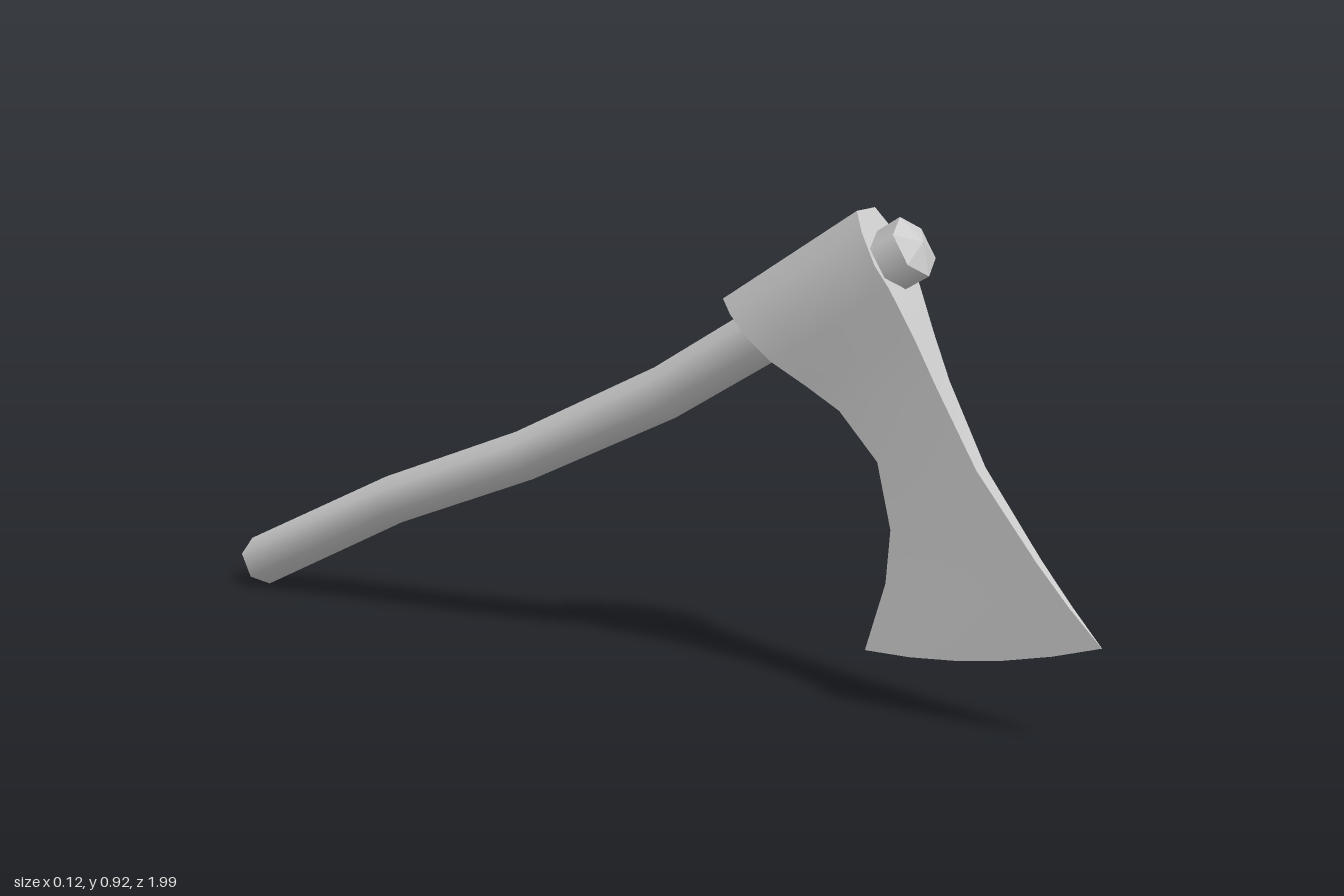
import * as THREE from 'three';
import { toCreasedNormals } from 'three/addons/utils/BufferGeometryUtils.js';

const steel = new THREE.MeshStandardMaterial({ color: 0xcccccc });
steel.name = 'lightGrey';

// Skins closed rings (counter-clockwise seen from the first ring); caps are strips across a mirrored ring.
function loft(rings, crease, capped) {
  const n = rings[0].length, idx = [];
  for (let i = 0; i < rings.length - 1; i++) {
    for (let j = 0; j < n; j++) {
      const a = i * n + j, b = i * n + (j + 1) % n;
      idx.push(a, a + n, b, b, a + n, b + n);
    }
  }
  if (capped) {
    for (let j = 0; j < n / 2 - 1; j++) {
      idx.push(j, j + 1, n - 1 - j, j + 1, n - 2 - j, n - 1 - j);
    }
  }
  const geo = new THREE.BufferGeometry().setFromPoints(rings.flat());
  geo.setIndex(idx);
  return toCreasedNormals(geo, crease);
}

function part(name, geo) {
  const mesh = new THREE.Mesh(geo, steel);
  mesh.name = name;
  return mesh;
}

// Six-sided curved haft with shallow pointed ends
function buildHandle() {
  const group = new THREE.Group();
  group.name = 'handle';
  // z, y, radius
  const path = [
    [0.616, 0.865, 0.0585], [0.297, 0.672, 0.053], [0.088, 0.544, 0.052],
    [-0.249, 0.378, 0.05], [-0.589, 0.241, 0.05], [-0.97, 0.051, 0.053],
  ];
  const centres = path.map(([z, y]) => new THREE.Vector3(0, y, z));
  const last = centres.length - 1;
  const tangent = (i) => centres[Math.min(i + 1, last)].clone().sub(centres[Math.max(i - 1, 0)]).normalize();
  const rings = centres.map((c, i) => {
    const t = tangent(i), r = path[i][2];
    return Array.from({ length: 6 }, (_, k) => {
      const a = Math.PI / 6 + k * Math.PI / 3, h = r * Math.sin(a);
      return new THREE.Vector3(r * Math.cos(a), c.y - t.z * h, c.z + t.y * h);
    });
  });
  group.add(part('shaft', loft(rings, 1.15, false)));

  for (const [i, sign, name] of [[0, -1, 'frontEnd'], [last, 1, 'buttEnd']]) {
    const cone = new THREE.ConeGeometry(path[i][2], 0.02, 6, 1, true).translate(0, 0.01, 0);
    const cap = part(name, toCreasedNormals(cone, 0.05));
    cap.position.copy(centres[i]);
    cap.quaternion.setFromUnitVectors(new THREE.Vector3(0, 1, 0), tangent(i).multiplyScalar(sign));
    group.add(cap);
  }
  return group;
}

// Bearded head: thick socket narrowing to a thin curved cutting edge
function buildHead() {
  // front z, front y, back z, back y, half thickness
  const rows = [
    [0.517, 0.924, 0.238, 0.742, 0.032],
    [0.539, 0.889, 0.266, 0.718, 0.051],
    [0.572, 0.835, 0.31, 0.68, 0.062],
    [0.597, 0.795, 0.356, 0.64, 0.053],
    [0.639, 0.71, 0.42, 0.6, 0.036],
    [0.678, 0.629, 0.485, 0.56, 0.026],
    [0.758, 0.485, 0.56, 0.474, 0.017],
    [0.876, 0.335, 0.586, 0.351, 0.01],
    [0.94, 0.262, 0.576, 0.249, 0.006],
    [1.0, 0.2, 0.533, 0.115, 0.0005],
  ];
  const cols = 6;
  const rings = rows.map(([fz, fy, bz, by, w], i) => {
    const sag = i === rows.length - 1 ? 0.022 : i === rows.length - 2 ? 0.012 : 0;
    const side = Array.from({ length: cols }, (_, k) => {
      const t = k / (cols - 1);
      return new THREE.Vector3(w, fy + (by - fy) * t - sag * 4 * t * (1 - t), fz + (bz - fz) * t);
    });
    const mirrored = side.map((p) => new THREE.Vector3(-p.x, p.y, p.z)).reverse();
    return [...side, ...mirrored];
  });
  return part('axeHead', loft(rings, 0.6, true));
}

export function createModel() {
  const model = new THREE.Group();
  model.name = 'axe';
  model.add(buildHandle(), buildHead());
  return model;
}
